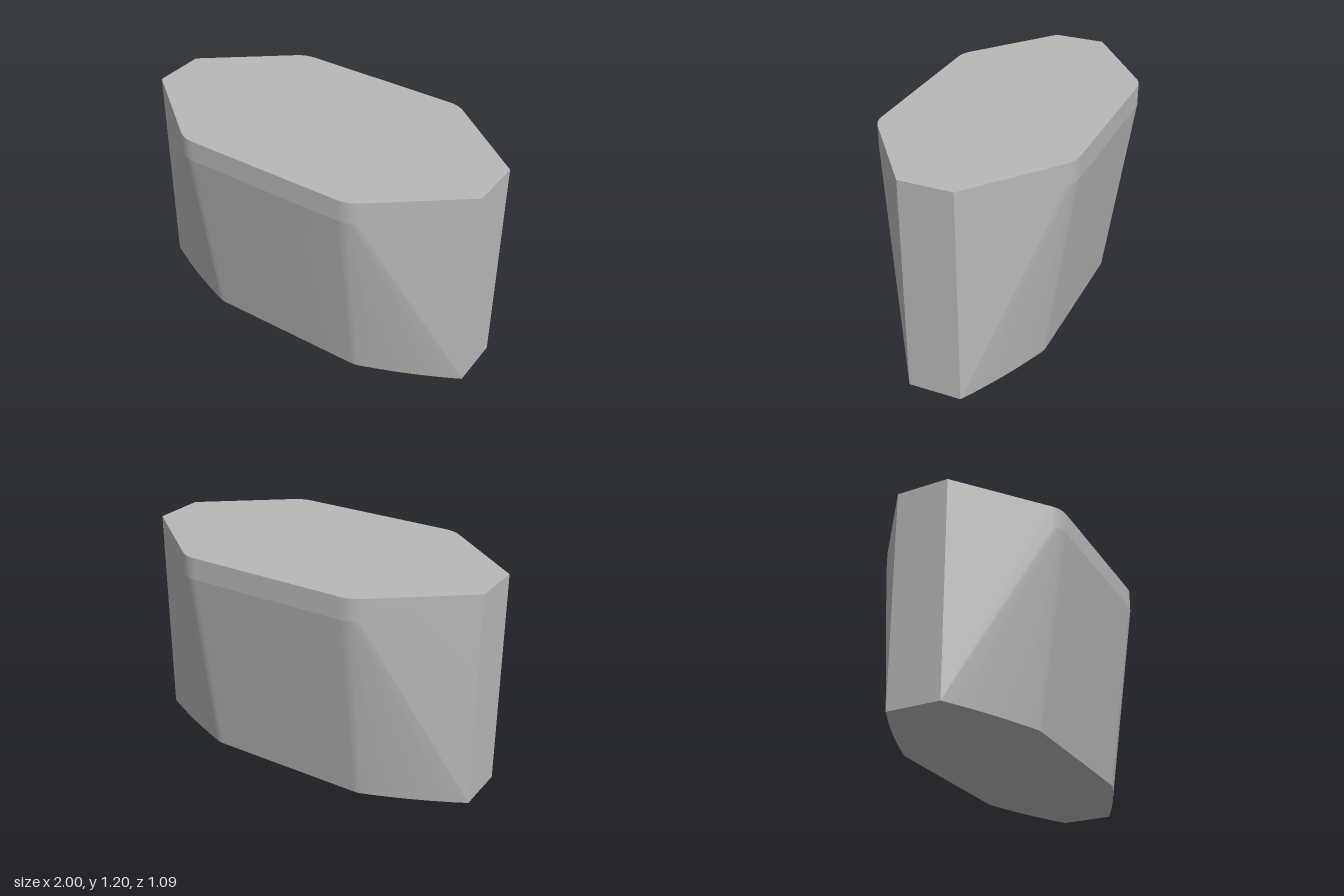
import * as THREE from 'three';
import { ConvexGeometry } from 'three/addons/geometries/ConvexGeometry.js';
import { toCreasedNormals } from 'three/addons/utils/BufferGeometryUtils.js';

const HALF_LENGTH = 1, END_DEPTH = 0.146;

// One quarter of the outline: end corner, then a rounded shoulder
function quarter(shoulderX, depth, radius, bulge) {
  const end = new THREE.Vector2(HALF_LENGTH, END_DEPTH);
  const corner = new THREE.Vector2(shoulderX, depth);
  const start = corner.clone().lerp(end, radius / corner.distanceTo(end));
  const finish = new THREE.Vector2(shoulderX - radius, depth);
  const points = [];
  // sloping side, bowed slightly outwards
  const mid = end.clone().add(start).multiplyScalar(0.5).add(new THREE.Vector2(bulge, bulge * 2));
  if (bulge > 0) points.push(...new THREE.QuadraticBezierCurve(end, mid, start).getPoints(6));
  else points.push(end);
  points.push(...new THREE.QuadraticBezierCurve(start, corner, finish).getPoints(8));
  return points;
}

// Mirror a quarter outline into a full ring at height y
function ring(y, points) {
  const out = [];
  for (const sx of [1, -1]) for (const sz of [1, -1])
    for (const p of points) out.push(new THREE.Vector3(p.x * sx, y, p.y * sz));
  return out;
}

export function createModel() {
  const group = new THREE.Group();
  group.name = 'taperedBlock';
  const grey = new THREE.MeshStandardMaterial({ color: 0xb8b8b8 });
  grey.name = 'grey';

  // Narrow base, wide upright rim and flat lid joined by one convex skin
  const base = quarter(0.47, 0.385, 0.03, 0.01);
  const rim = quarter(0.5, 0.543, 0.06, 0);
  const skin = new ConvexGeometry([...ring(0, base), ...ring(1.08, rim), ...ring(1.2, rim)]);
  const body = new THREE.Mesh(toCreasedNormals(skin, 0.1), grey);
  body.name = 'body';
  group.add(body);
  return group;
}
